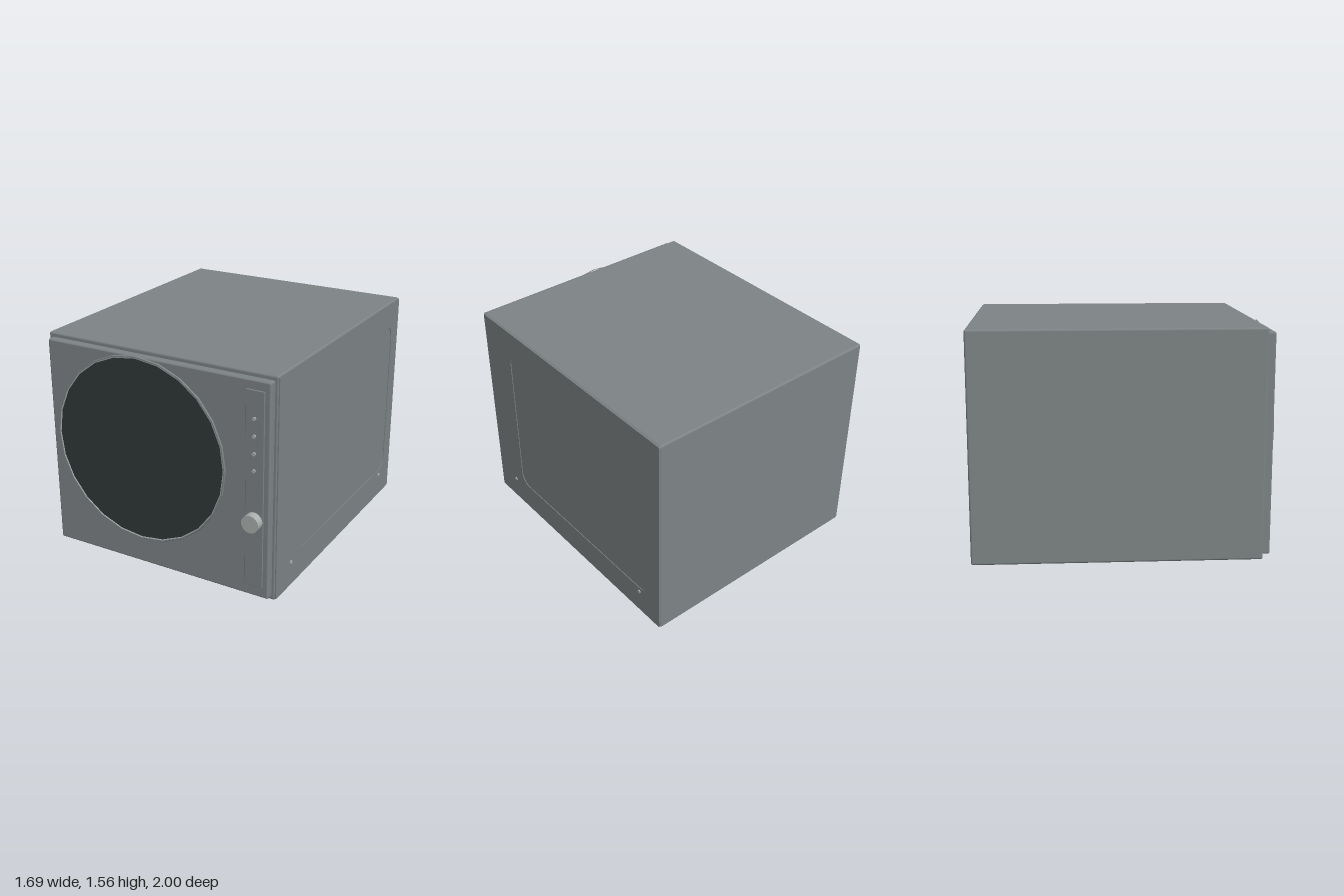
import * as THREE from 'three';
import { RoundedBoxGeometry } from 'three/addons/geometries/RoundedBoxGeometry.js';

const mat = (name, color) => {
  const m = new THREE.MeshStandardMaterial({ color });
  m.name = name;
  return m;
};

// Traces a rectangle with rounded corners on a shape or a hole path
function roundRect(path, x0, y0, x1, y1, r) {
  path.moveTo(x0 + r, y0);
  path.lineTo(x1 - r, y0);
  path.absarc(x1 - r, y0 + r, r, -Math.PI / 2, 0);
  path.lineTo(x1, y1 - r);
  path.absarc(x1 - r, y1 - r, r, 0, Math.PI / 2);
  path.lineTo(x0 + r, y1);
  path.absarc(x0 + r, y1 - r, r, Math.PI / 2, Math.PI);
  path.lineTo(x0, y0 + r);
  path.absarc(x0 + r, y0 + r, r, Math.PI, Math.PI * 1.5);
  return path;
}

export function createModel() {
  const model = new THREE.Group();
  model.name = 'cabinetSpeaker';
  const grey = mat('cabinet grey', 0x7d8385);
  const dark = mat('dark charcoal', 0x2f3838);
  const light = mat('light metal', 0xa9aeac);

  const add = (name, geometry, material, x = 0, y = 0, z = 0) => {
    const mesh = new THREE.Mesh(geometry, material);
    mesh.name = name;
    mesh.position.set(x, y, z);
    model.add(mesh);
    return mesh;
  };
  // Box given by its corner coordinates, with softened edges
  const box = (name, material, x0, x1, y0, y1, z0, z1, r) =>
    add(name, new RoundedBoxGeometry(x1 - x0, y1 - y0, z1 - z0, 2, r), material,
      (x0 + x1) / 2, (y0 + y1) / 2, (z0 + z1) / 2);
  // Round part whose axis points to the front
  const knobShape = (name, r, depth, sides, x, y, z) =>
    add(name, new THREE.CylinderGeometry(r, r, depth, sides).rotateX(Math.PI / 2), light, x, y, z + depth / 2);

  // Cabinet and front panel
  box('cabinet', grey, -0.846, 0.834, 0.05, 1.562, -1, 0.886, 0.014);
  box('frontPanel', grey, -0.818, 0.811, 0.077, 1.532, 0.86, 0.936, 0.012);

  // Side skin that leaves a shallow rounded recess
  const skin = roundRect(new THREE.Shape(), -0.88, 0.056, 0.994, 1.556, 0.01);
  skin.holes.push(roundRect(new THREE.Path(), -0.587, 0.26, 0.88, 1.385, 0.09));
  const skinGeo = new THREE.ExtrudeGeometry(skin, { depth: 0.008, bevelEnabled: false, curveSegments: 8 });
  add('sidePanel', skinGeo.rotateY(Math.PI / 2), grey, 0.831);

  // Side screws
  for (const z of [0.68, -0.79]) {
    add('sideScrew', new THREE.CylinderGeometry(0.013, 0.013, 0.012, 12).rotateZ(-Math.PI / 2), light, 0.84, 0.228, z);
  }

  // Round grille with a faceted double rim
  const rim = (name, points, material) => {
    const lathe = new THREE.LatheGeometry(points.map(p => new THREE.Vector2(...p)), 24);
    const geo = lathe.toNonIndexed();
    geo.computeVertexNormals();
    add(name, geo.rotateX(Math.PI / 2), material, -0.13, 0.895, 0.934);
  };
  rim('grilleOuterRim', [[0.639, 0], [0.639, 0.01], [0.636, 0.014], [0.629, 0.014]], grey);
  rim('grilleInnerRim', [[0.629, 0.014], [0.623, 0.013], [0.623, 0.006]], light);
  add('grille', new THREE.CylinderGeometry(0.628, 0.628, 0.008, 24).rotateX(Math.PI / 2), dark, -0.13, 0.895, 0.938);

  // Control strip, indicator buttons and knob
  box('controlStrip', grey, 0.648, 0.773, 0.155, 1.472, 0.93, 0.945, 0.003);
  for (const y of [1.295, 1.182, 1.068, 0.955]) knobShape('button', 0.012, 0.013, 12, 0.709, y, 0.942);
  knobShape('volumeKnob', 0.059, 0.058, 32, 0.711, 0.617, 0.942);

  // Base plate and feet
  box('basePlate', dark, -0.761, 0.755, 0.03, 0.06, -0.914, 0.797, 0.004);
  for (const x of [-0.608, 0.603]) {
    for (const z of [0.615, -0.728]) {
      add('foot', new THREE.CylinderGeometry(0.0735, 0.0735, 0.036, 24), dark, x, 0.018, z);
    }
  }
  return model;
}
